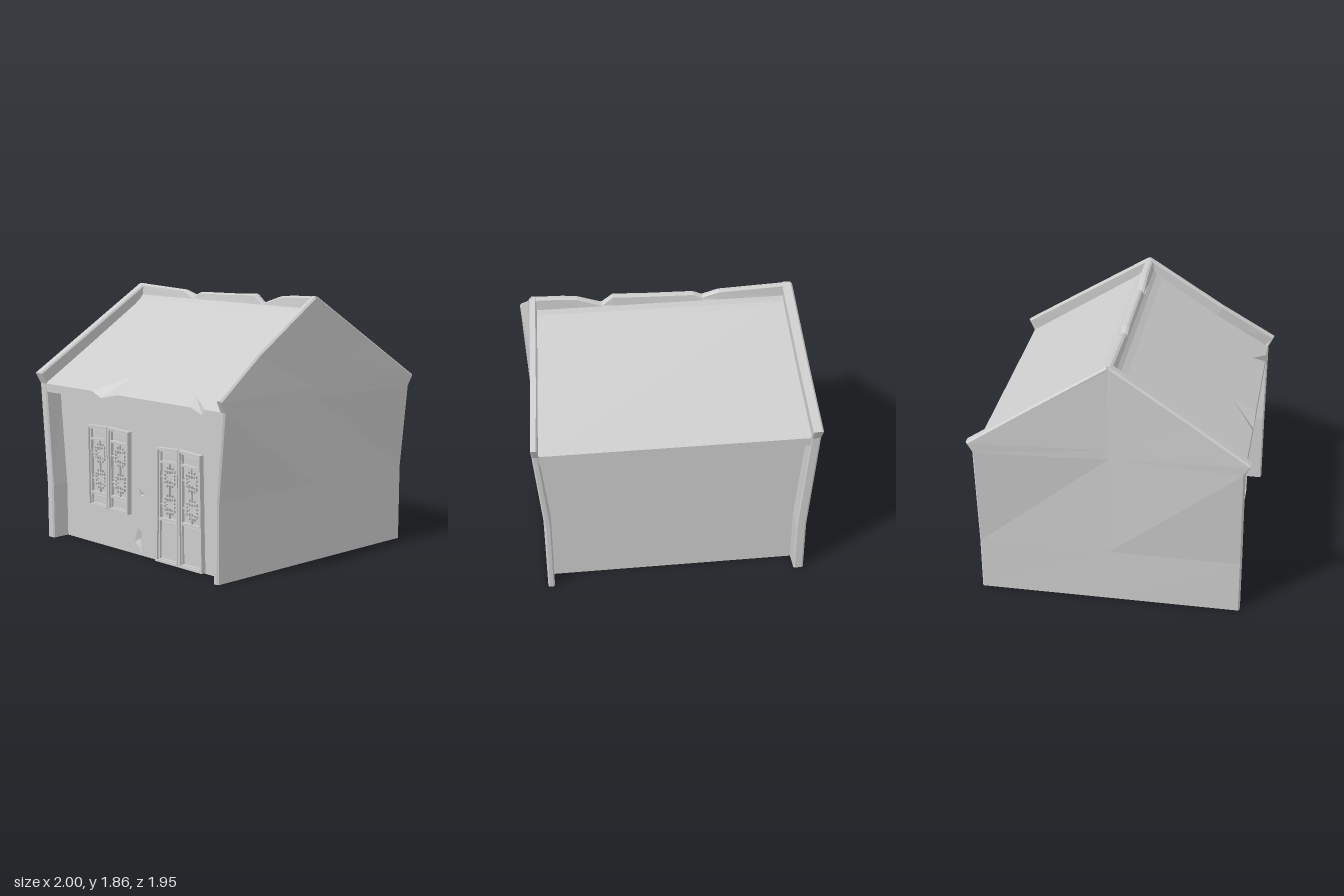
import * as THREE from 'three';
import { mergeGeometries } from 'three/addons/utils/BufferGeometryUtils.js';

const material = new THREE.MeshStandardMaterial({ color: 0xcccccc, flatShading: true, side: THREE.DoubleSide });
const EAVE_Z = 0.93, WALL_Z = 0.8;
const roofY = z => 1.778 - 0.664 * Math.abs(z);
const roofX = z => 0.9 + 0.05 * Math.abs(z);

function part(parent, name, geometry) {
  geometry.computeVertexNormals();
  const mesh = new THREE.Mesh(geometry, material);
  mesh.name = name;
  parent.add(mesh);
  return mesh;
}

function triangles(list) {
  const geometry = new THREE.BufferGeometry();
  geometry.setAttribute('position', new THREE.Float32BufferAttribute(list.flat(2), 3));
  return geometry;
}

// Surface through rows of points
function sheet(rows) {
  const list = [];
  for (let i = 0; i + 1 < rows.length; i++) {
    for (let j = 0; j + 1 < rows[i].length; j++) {
      const a = rows[i][j], b = rows[i][j + 1], c = rows[i + 1][j + 1], d = rows[i + 1][j];
      list.push([a, b, c], [a, c, d]);
    }
  }
  return triangles(list);
}

// Triangles from a line of points to one sunken point
function fan(ring, apex) {
  return triangles(ring.slice(1).map((p, i) => [ring[i], p, apex]));
}

function flatShape(points, holes = []) {
  const shape = new THREE.Shape(points.map(p => new THREE.Vector2(...p)));
  for (const h of holes) shape.holes.push(new THREE.Path(h.map(p => new THREE.Vector2(...p))));
  return new THREE.ShapeGeometry(shape);
}

// Gable wall: upright in the middle, flared towards its corners, with parapet rim and inner return
function gableWall(parent, name, side, thick, bend, frontMidX) {
  // height, half depth, outer x, inner return height, inner return depth
  const levels = [
    [0, 0.935, 0.93, 0, 0.79], [bend, 0.935, 0.932, bend, 0.79],
    [1.16, 0.935, 0.993, 1.08, 0.79], [1.24, 0.975, 1.0, 1.1, 0.84],
    [1.5, 0.574, 0.968, 1.37, 0.52], [1.845, 0.035, 0.933, 1.72, 0.005], [1.86, 0.012, 0.931, 1.72, 0],
  ];
  const group = new THREE.Group();
  group.name = name;
  const xAt = (l, dir) => (l[0] === 1.5 && dir > 0 ? frontMidX : l[2]);
  const edge = (l, dir) => [side * xAt(l, dir), l[0] - (l[0] > 1.2 ? 0.008 : 0), dir * Math.max(l[1] - 0.01, 0)];
  part(group, 'gableFace', sheet(levels.map(l => [edge(l, -1), [side * 0.93, edge(l, 1)[1], 0], edge(l, 1)])));
  for (const dir of [-1, 1]) {
    part(group, 'gableRim', sheet(levels.map(l => {
      const [y, w, , yi, wi] = l, x = xAt(l, dir);
      return [edge(l, dir), [side * (x - 0.012), y, dir * w], [side * (x - thick + 0.01), y, dir * w],
        [side * (x - thick), y - (y > 1.2 ? 0.008 : 0), dir * Math.max(w - 0.01, 0)], [side * (x - thick), yi, dir * wi]];
    })));
  }
  // Small cap joining the two rims at the peak
  const peak = d => [side * 0.919, 1.86, d * 0.012], inner = d => [side * (0.941 - thick), 1.86, d * 0.012];
  part(group, 'peakCap', sheet([[peak(-1), peak(1)], [inner(-1), inner(1)]]));
  parent.add(group);
}

// Two-leaf lattice casement, tapered from bottom to top
function casement(parent, name, cx, y0, y1, halfBottom, halfTop, sill) {
  const boxes = [], H = 0.232;
  const bar = (xa, xb, ya, yb, d) => {
    boxes.push(new THREE.BoxGeometry(Math.abs(xb - xa), yb - ya, d).translate((xa + xb) / 2, (ya + yb) / 2, d / 2));
  };
  const latticeTop = y1 - 0.11, latticeBottom = sill + 0.012;
  for (const s of [-1, 1]) {
    // Stiles with a lower inner step
    bar(s * 0.212, s * H, y0, y1, 0.036);
    bar(s * 0.2, s * 0.213, y0, y1, 0.022);
    bar(s * 0.003, s * 0.02, y0, y1, 0.036);
    bar(s * 0.019, s * 0.03, y0, y1, 0.022);
    // Rails
    for (const [a, b, d] of [[y0, y0 + 0.016, 0.036], [y1 - 0.018, y1, 0.036], [y0 + 0.015, y0 + 0.024, 0.022],
      [y1 - 0.027, y1 - 0.017, 0.022], [latticeTop, latticeTop + 0.016, 0.024], [sill - 0.008, latticeBottom, 0.024]]) {
      bar(s * 0.003, s * H, a, b, d);
    }
    // Solid panels above and below the lattice
    bar(s * 0.038, s * 0.192, latticeTop + 0.022, y1 - 0.034, 0.01);
    bar(s * 0.038, s * 0.192, y0 + 0.032, sill - 0.016, 0.012);
    // Lattice: two square rings with spokes and stepped corners
    const mx = 0.115, half = (latticeTop - latticeBottom) / 4, t = 0.004, r = 0.05, q = 0.026;
    for (const my of [latticeBottom + half, latticeTop - half]) {
      const strip = (xa, xb, ya, yb) => bar(s * (mx + xa), s * (mx + xb), my + ya, my + yb, 0.016);
      for (const a of [-1, 1]) {
        const lo = (u, v) => Math.min(a * u, a * v), hi = (u, v) => Math.max(a * u, a * v);
        strip(-r, r, a * r - t, a * r + t);
        strip(a * r - t, a * r + t, -r, r);
        strip(-t, t, lo(q, half), hi(q, half));
        strip(lo(q, 0.086), hi(q, 0.086), -t, t);
        for (const b of [-1, 1]) {
          const lb = Math.min(b * q, b * 0.072), hb = Math.max(b * q, b * 0.072);
          strip(a * q - t, a * q + t, lb, hb);
          strip(lo(q, 0.072), hi(q, 0.072), b * q - t, b * q + t);
        }
      }
    }
  }
  const geometry = mergeGeometries(boxes);
  const p = geometry.attributes.position;
  for (let i = 0; i < p.count; i++) {
    const k = (p.getY(i) - y0) / (y1 - y0), x = p.getX(i);
    p.setXY(i, x / H * (halfBottom + (halfTop - halfBottom) * k), p.getY(i) - Math.abs(x) * 0.05 * k);
  }
  part(parent, name, geometry).position.set(cx, 0, WALL_Z + 0.001);
}

export function createModel() {
  const house = new THREE.Group();
  house.name = 'house';

  gableWall(house, 'leftGable', 1, 0.048, 0.55, 0.942);
  gableWall(house, 'rightGable', -1, 0.072, 0.4, 0.968);

  // Front wall with two shallow chips, plain back wall
  const outline = [[-0.87, 0], [0.89, 0], [0.89, 0.5], [0.95, 1.1], [-0.93, 1.1], [-0.87, 0.42]];
  const chips = [
    { ring: [[-0.03, 0.485], [0.04, 0.445], [-0.015, 0.43]], apex: [-0.01, 0.445] },
    { ring: [[-0.045, 0.19], [0, 0.17], [0, 0.01], [-0.03, 0.06], [-0.08, 0.09]], apex: [-0.03, 0.12] },
  ];
  part(house, 'frontWall', flatShape(outline, chips.map(c => c.ring))).position.z = WALL_Z;
  for (const { ring, apex } of chips) {
    part(house, 'wallChip', fan([...ring, ring[0]].map(p => [...p, WALL_Z]), [...apex, WALL_Z - 0.018]));
  }
  part(house, 'backWall', flatShape(outline)).position.z = -WALL_Z;

  casement(house, 'window', -0.336, 0.285, 0.895, 0.226, 0.232, 0.385);
  casement(house, 'door', 0.425, 0.005, 0.83, 0.24, 0.222, 0.315);

  // Front roof slope with two cracks at the eave
  const cracks = [
    { ring: [[-0.38, EAVE_Z], [-0.13, 0.76], [-0.1, EAVE_Z]], low: [-0.28, 1.12] },
    { ring: [[0.66, EAVE_Z], [0.62, 0.84], [0.8, EAVE_Z]], low: [0.775, 1.12] },
  ];
  const xe = roofX(EAVE_Z), ye = roofY(EAVE_Z);
  const slope = flatShape([[-xe, EAVE_Z], ...cracks.flatMap(c => c.ring), [xe, EAVE_Z], [roofX(0), 0], [-roofX(0), 0]]);
  const p = slope.attributes.position;
  for (let i = 0; i < p.count; i++) p.setXYZ(i, p.getX(i), roofY(p.getY(i)), p.getY(i));
  part(house, 'frontRoof', slope);
  for (const { ring, low } of cracks) {
    part(house, 'roofCrack', fan(ring.map(([x, z]) => [x, roofY(z), z]), [...low, EAVE_Z]));
  }
  const lip = cracks.flatMap(c => [[c.ring[0][0], ye], c.low, [c.ring[2][0], ye]]);
  part(house, 'frontEave', flatShape([[-xe, 1.1], [-xe, ye], ...lip, [xe, ye], [xe, 1.1]])).position.z = EAVE_Z;

  // Back slope and eave, then both soffits
  const across = (x, y, z) => [[-x, y, z], [x, y, z]];
  part(house, 'backRoof', sheet([across(roofX(0), roofY(0), 0), across(xe, ye, -EAVE_Z), across(xe, 1.1, -EAVE_Z)]));
  for (const d of [-1, 1]) {
    part(house, 'soffit', sheet([across(xe, 1.1, d * EAVE_Z), across(xe, 1.1, d * (WALL_Z - 0.005))]));
  }

  // Broken ridge running between the gables
  const ridge = [[-0.9, 1.857], [-0.4, 1.836], [-0.285, 1.802], [-0.22, 1.828], [0.1, 1.835], [0.35, 1.845],
    [0.425, 1.785], [0.6, 1.842], [0.7, 1.852], [0.9, 1.857]];
  part(house, 'ridge', sheet(ridge.map(([x, top]) => [
    [-0.1, 1.713], [-0.06, 1.745], [-0.036, 1.775], [-0.028, top - 0.01], [-0.012, top],
    [0.012, top], [0.028, top - 0.01], [0.036, 1.775], [0.06, 1.745], [0.1, 1.713],
  ].map(([z, y]) => [x, y, z]))));

  return house;
}
